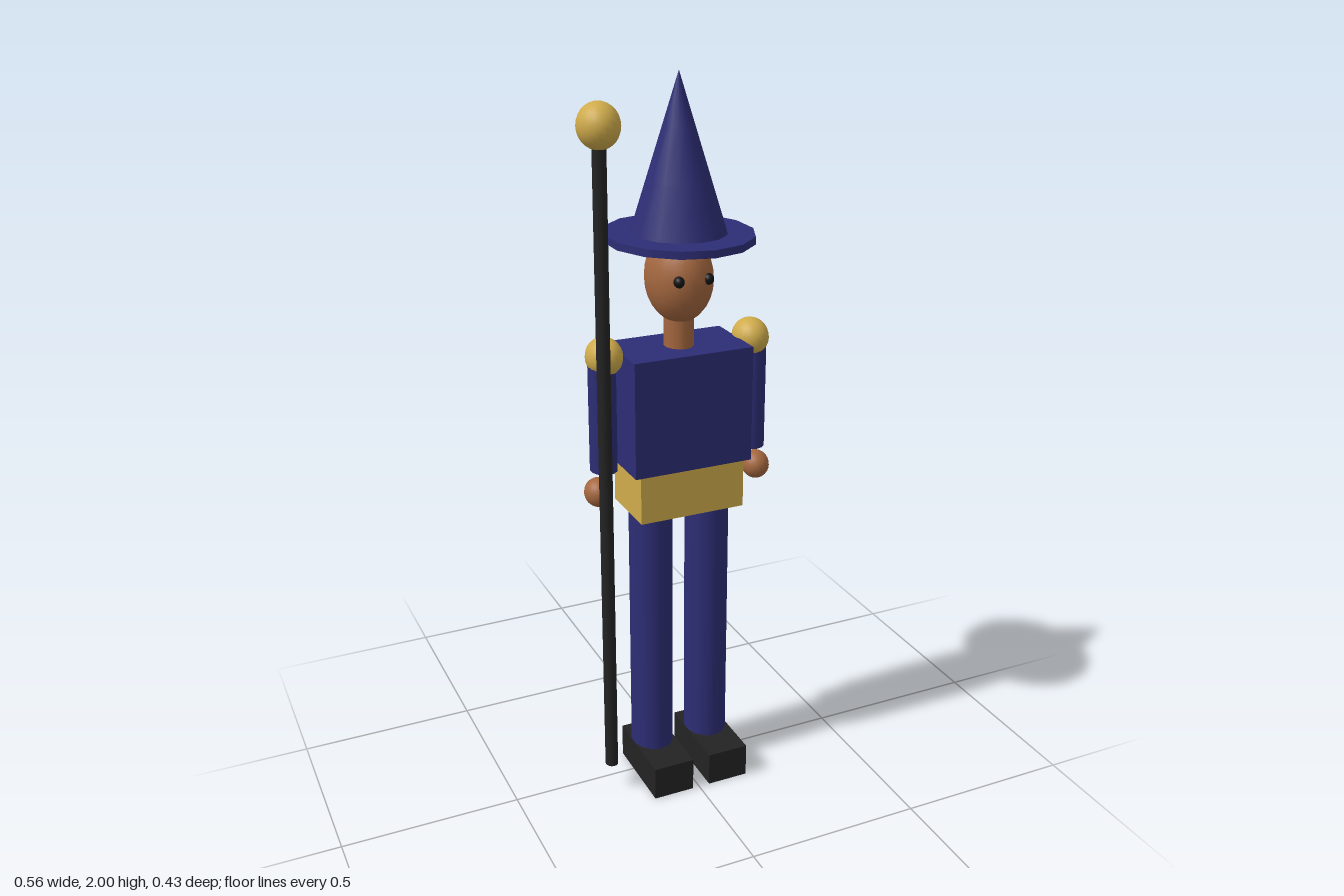
import * as THREE from 'three';

const mat = (name, color) => {
  const m = new THREE.MeshStandardMaterial({ color });
  m.name = name;
  return m;
};

export function createModel() {
  const navy = mat('navy', 0x2d2d75);
  const gold = mat('gold', 0xcfab4b);
  const skin = mat('skin', 0xa4673f);
  const dark = mat('charcoal', 0x232323);
  const eyeBlack = mat('eyeBlack', 0x121212);

  const figure = new THREE.Group();
  figure.name = 'wizard';

  function add(name, geometry, material, x, y, z) {
    const mesh = new THREE.Mesh(geometry, material);
    mesh.name = name;
    mesh.position.set(x, y, z);
    figure.add(mesh);
    return mesh;
  }
  const box = (w, h, d) => new THREE.BoxGeometry(w, h, d);
  // Round parts are slightly narrower in x than in z
  const ball = (rx, ry, rz) => new THREE.SphereGeometry(1, 20, 14).scale(rx, ry, rz);
  const post = (rx, rz, h, sides = 14) =>
    new THREE.CylinderGeometry(1, 1, h, sides).scale(rx, 1, rz);

  // Body
  add('torso', box(0.338, 0.32, 0.204), navy, 0, 1.136, 0);
  add('hips', box(0.302, 0.137, 0.186), gold, 0, 0.9075, 0);
  add('neck', post(0.04, 0.045, 0.12), skin, 0, 1.345, 0);
  add('head', ball(0.088, 0.12, 0.106), skin, 0, 1.48, 0);

  // Paired parts
  for (const [side, s] of [['left', 1], ['right', -1]]) {
    add(side + 'Eye', ball(0.014, 0.015, 0.016), eyeBlack, s * 0.041, 1.492, 0.092);
    add(side + 'Shoulder', ball(0.049, 0.052, 0.056), gold, s * 0.212, 1.291, 0);
    add(side + 'Arm', post(0.037, 0.042, 0.3), navy, s * 0.219, 1.126, 0);
    add(side + 'Hand', ball(0.038, 0.04, 0.042), skin, s * 0.236, 0.913, 0);
    add(side + 'Leg', post(0.06, 0.07, 0.76), navy, s * 0.085, 0.47, 0);
    add(side + 'Shoe', box(0.119, 0.097, 0.244), dark, s * 0.085, 0.0485, 0.037);
  }

  // Pointed hat
  add('hatBrim', post(0.194, 0.216, 0.02), navy, 0, 1.589, 0);
  add('hatCone', new THREE.ConeGeometry(1, 0.402, 14, 3).scale(0.1245, 1, 0.1375),
    navy, 0, 1.799, 0);

  // Staff held in the right hand
  add('staff', post(0.018, 0.02, 1.77), dark, -0.236, 0.97, 0.057);
  add('staffOrb', ball(0.054, 0.058, 0.061), gold, -0.236, 1.889, 0.056);

  // The staff widens one side, so the figure stands a little off centre
  figure.position.x = 0.006;
  const model = new THREE.Group();
  model.name = 'model';
  model.add(figure);
  return model;
}
